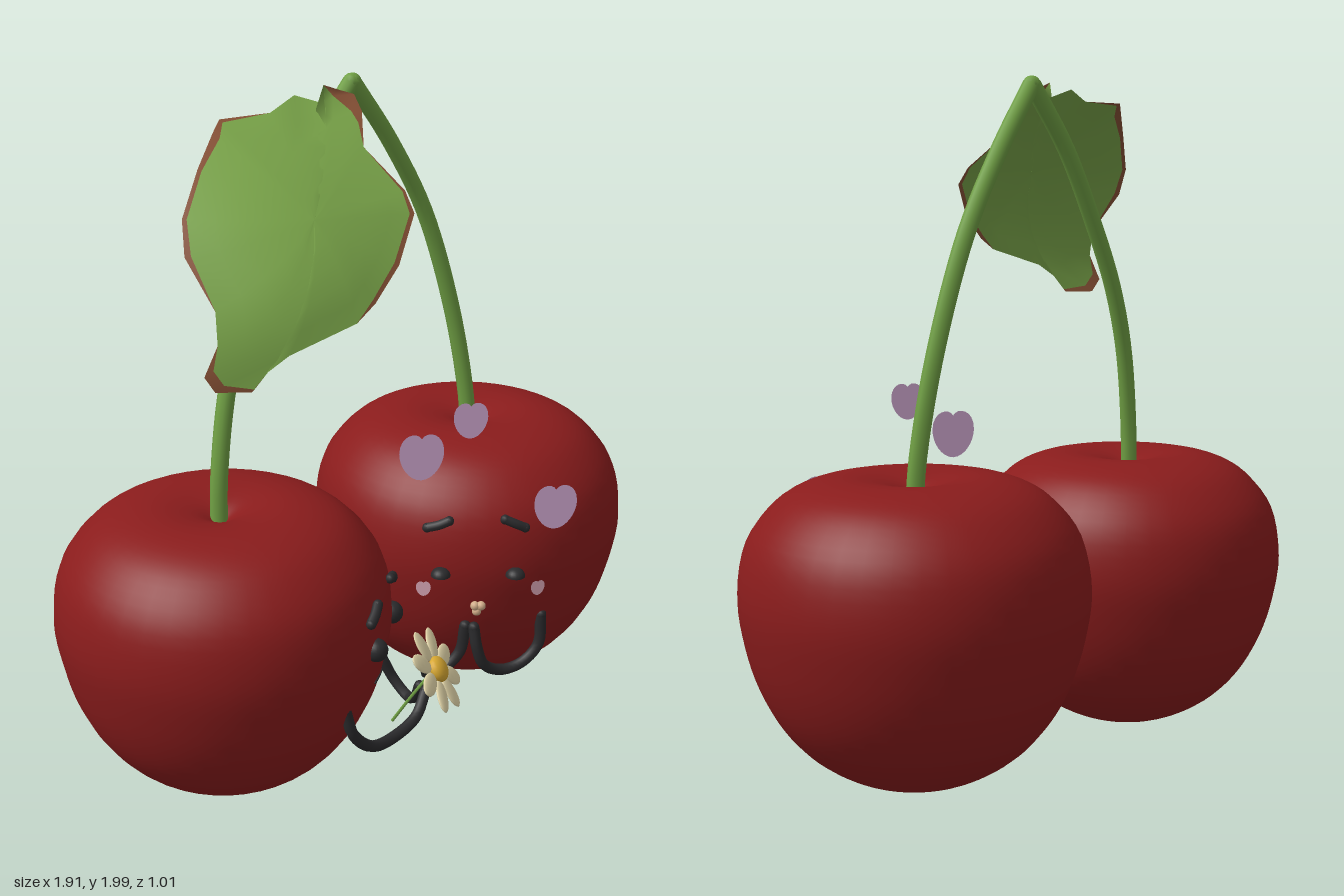
import * as THREE from 'three';

const V = (p) => new THREE.Vector3(...p);

export function createModel() {
  const model = new THREE.Group();
  const mat = (name, color, double) => {
    const m = new THREE.MeshStandardMaterial({ color });
    m.name = name;
    if (double) m.side = THREE.DoubleSide;
    return m;
  };
  const red = mat('cherry red', 0x8a1c1c);
  const stemGreen = mat('stem green', 0x70a044);
  const leafGreen = mat('leaf green', 0x7eaa4c, true);
  const brown = mat('leaf rim brown', 0x8c5438, true);
  const black = mat('charcoal', 0x2a2a2c, true);
  const lilac = mat('heart lilac', 0xd0a8d0, true);
  const pink = mat('blush pink', 0xdcaab8, true);
  const cream = mat('petal cream', 0xe6d9ac);
  const yellow = mat('flower yellow', 0xd8a832);
  const lip = mat('lip beige', 0xd0ac88);

  const add = (name, geo, material, pos = [0, 0, 0], parent = model) => {
    const m = new THREE.Mesh(geo, material);
    m.name = name;
    m.position.set(...pos);
    parent.add(m);
    return m;
  };
  const tube = (name, pts, r, material, sides = 8) => {
    const curve = new THREE.CatmullRomCurve3(pts.map(V));
    add(name, new THREE.TubeGeometry(curve, 28, r, sides), material);
    for (const p of [pts[0], pts[pts.length - 1]])
      add(name + 'End', new THREE.SphereGeometry(r, 10, 8), material, p);
  };

  // Cherry bodies: one lathe profile of [radius, height]
  const profile = new THREE.SplineCurve([
    [0, 0], [0.1, 0.01], [0.205, 0.048], [0.3, 0.112], [0.372, 0.195], [0.424, 0.292], [0.46, 0.41], [0.478, 0.55],
    [0.452, 0.69], [0.378, 0.79], [0.29, 0.842], [0.18, 0.86], [0.07, 0.84], [0, 0.8],
  ].map(([r, y]) => new THREE.Vector2(r, y))).getPoints(52);
  profile.forEach((p) => { p.x = Math.max(p.x, 0); });
  const body = new THREE.LatheGeometry(profile, 40);
  const depth = 1.015;
  const right = { c: [-0.475, 0.008, -0.02] };
  const left = { c: [0.475, 0.056, -0.005] };
  add('rightCherry', body, red, right.c).scale.z = depth;
  add('leftCherry', body, red, left.c).scale.z = depth;

  // Point on the front of a cherry at a given x and y
  const onSkin = ({ c }, x, y, lift = 0) => {
    const h = y - c[1];
    const i = profile.findIndex((p) => p.y >= h);
    const a = profile[i - 1], b = profile[i];
    const r = a.x + (b.x - a.x) * (h - a.y) / (b.y - a.y) + lift;
    return [x, y, c[2] + depth * Math.sqrt(Math.max(r * r - (x - c[0]) ** 2, 0))];
  };

  // Stems meeting at the top
  tube('rightStem', [[0.04, 1.975, -0.06], [-0.1, 1.8, -0.07], [-0.23, 1.6, -0.065], [-0.34, 1.4, -0.06],
    [-0.415, 1.2, -0.05], [-0.465, 0.95, -0.035], [-0.475, 0.8, -0.03]], 0.025, stemGreen);
  tube('leftStem', [[0.045, 1.975, -0.06], [0.19, 1.79, -0.065], [0.325, 1.56, -0.06],
    [0.42, 1.25, -0.035], [0.463, 0.98, -0.01], [0.472, 0.83, 0]], 0.025, stemGreen);

  // Leaf: outline of [x, y, rim width], filled by rings and bent forward
  const outline = [
    [0, 1.955, 0.14], [-0.05, 1.972, 0.06], [-0.1, 1.99, 0], [-0.115, 1.945, 0], [-0.2, 1.975, 0], [-0.3, 1.945, 0],
    [-0.45, 1.945, 0.03], [-0.49, 1.92, 0.06], [-0.58, 1.85, 0.03], [-0.67, 1.75, 0.03], [-0.7, 1.67, 0.04],
    [-0.68, 1.55, 0], [-0.69, 1.47, 0], [-0.72, 1.39, 0.05], [-0.7, 1.35, 0.05], [-0.63, 1.35, 0.02],
    [-0.6, 1.4, 0], [-0.55, 1.44, 0], [-0.37, 1.495, 0], [-0.3, 1.53, 0.05], [-0.19, 1.6, 0.06],
    [-0.07, 1.7, 0.05], [-0.06, 1.75, 0.03], [-0.1, 1.85, 0], [-0.02, 1.92, 0.11],
  ];
  const [cx, cy] = [-0.38, 1.73];
  const bend = (x, y) => {
    const d = Math.max(1.96 - y, 0);
    return 1.65 * d - 1.455 * d * d - 1.2 * Math.min(x + 0.33, 0) ** 2 - 0.01;
  };
  const leafPart = (name, scales, material) => {
    const pos = [], idx = [], n = outline.length;
    scales.forEach((scale) => outline.forEach(([ox, oy, rim]) => {
      const s = scale(rim);
      const x = cx + (ox - cx) * s, y = cy + (oy - cy) * s;
      pos.push(x, y, bend(x, y));
    }));
    for (let k = 0; k < scales.length - 1; k++) for (let i = 0; i < n; i++) {
      const a = k * n + i, b = k * n + (i + 1) % n;
      idx.push(a, a + n, b, b, a + n, b + n);
    }
    const g = new THREE.BufferGeometry();
    g.setAttribute('position', new THREE.Float32BufferAttribute(pos, 3));
    g.setIndex(idx);
    g.computeVertexNormals();
    add(name, g, material);
  };
  leafPart('leaf', [0.001, 0.2, 0.4, 0.6, 0.8, 1].map((t) => (rim) => t * (1 - rim)), leafGreen);
  leafPart('leafRim', [(rim) => 1 - rim, () => 1], brown);

  // Eyes and brows
  for (const x of [-0.285, -0.11])
    add('rightCherryEye', new THREE.SphereGeometry(0.033, 20, 14), black, onSkin(right, x, 0.53));
  for (const x of [0.085, 0.25])
    add('leftCherrySleepyEye', new THREE.SphereGeometry(0.029, 20, 8, 0, Math.PI * 2, 0, Math.PI / 2),
      black, onSkin(left, x, 0.58, 0.008)).scale.y = 0.85;
  const brow = (cherry, x1, y1, x2, y2) => tube('brow', [onSkin(cherry, x1, y1, 0.01),
    onSkin(cherry, (x1 + x2) / 2, (y1 + y2) / 2, 0.012), onSkin(cherry, x2, y2, 0.01)], 0.0145, black);
  brow(right, -0.32, 0.63, -0.272, 0.662);
  brow(right, -0.148, 0.665, -0.098, 0.638);
  brow(left, 0.072, 0.722, 0.115, 0.747);
  brow(left, 0.238, 0.752, 0.285, 0.725);

  // Mouths
  tube('rightCherryMouth', [-0.25, -0.22, -0.19].map((x) => onSkin(right, x, 0.393)), 0.004, black);
  for (const [dx, dy] of [[-0.007, 0.01], [0.007, 0.01], [0, -0.01]])
    add('puckeredLip', new THREE.SphereGeometry(0.014, 12, 10), lip, onSkin(left, 0.17 + dx, 0.47 + dy, 0.01));

  // Flat, rounded hearts, one unit wide before scaling
  const heartShape = new THREE.Shape();
  heartShape.moveTo(0, -0.53);
  heartShape.bezierCurveTo(-0.3, -0.52, -0.5, -0.15, -0.5, 0.12);
  heartShape.bezierCurveTo(-0.5, 0.58, -0.1, 0.64, 0, 0.45);
  heartShape.bezierCurveTo(0.1, 0.64, 0.5, 0.58, 0.5, 0.12);
  heartShape.bezierCurveTo(0.5, -0.15, 0.3, -0.52, 0, -0.53);
  const heartGeo = new THREE.ShapeGeometry(heartShape, 8);
  const heart = (name, pos, size, turn, material) => {
    const h = add(name, heartGeo, material, pos);
    h.scale.setScalar(size);
    h.rotation.y = turn;
  };
  heart('floatingHeart', [0.037, 0.955, 0.25], 0.13, -0.55, lilac);
  heart('floatingHeart', [0.155, 1.06, 0.325], 0.1, -0.55, lilac);
  heart('floatingHeart', [0.367, 0.778, 0.47], 0.128, -0.55, lilac);
  for (const x of [0.055, 0.315])
    heart('blushHeart', onSkin(left, x, 0.53, 0.016), 0.044, Math.atan2(x - 0.475, 0.4), pink);

  // Arms
  tube('rightCherryOuterArm', [[-0.385, 0.37, 0.41], [-0.365, 0.29, 0.42], [-0.3, 0.225, 0.42],
    [-0.2, 0.2, 0.4], [-0.1, 0.225, 0.39], [-0.045, 0.28, 0.37]], 0.017, black);
  tube('rightCherryInnerArm', [[-0.035, 0.3, 0.165], [-0.008, 0.225, 0.19], [0, 0.185, 0.25],
    [-0.018, 0.22, 0.3], [-0.045, 0.285, 0.345]], 0.017, black);
  tube('leftCherryOuterArm', [[0.37, 0.41, 0.43], [0.365, 0.31, 0.43], [0.32, 0.255, 0.41],
    [0.26, 0.24, 0.385], [0.195, 0.275, 0.37], [0.172, 0.34, 0.36], [0.172, 0.4, 0.345]], 0.017, black);
  tube('leftCherryInnerArm', [[0.16, 0.4, 0.32], [0.15, 0.31, 0.31], [0.1, 0.255, 0.285],
    [0.05, 0.26, 0.28], [0.01, 0.31, 0.31]], 0.017, black);

  // Daisy held between them
  const flower = new THREE.Group();
  flower.name = 'flower';
  flower.position.set(-0.02, 0.35, 0.39);
  flower.quaternion.setFromUnitVectors(V([0, 0, 1]), V([0.45, 0.52, 0.72]).normalize());
  model.add(flower);
  for (let i = 0; i < 8; i++) {
    const a = (i / 8) * Math.PI * 2 + 0.2;
    const p = add('petal', new THREE.SphereGeometry(1, 14, 10), cream,
      [Math.cos(a) * 0.082, Math.sin(a) * 0.082, 0], flower);
    p.scale.set(0.05, 0.028, 0.008);
    p.rotation.z = a;
  }
  add('flowerCentre', new THREE.SphereGeometry(0.039, 18, 12), yellow, [0, 0, 0.006], flower).scale.z = 0.6;
  tube('flowerStem', [[-0.025, 0.345, 0.38], [-0.07, 0.26, 0.34], [-0.1, 0.165, 0.29]], 0.005, stemGreen, 6);

  return model;
}
